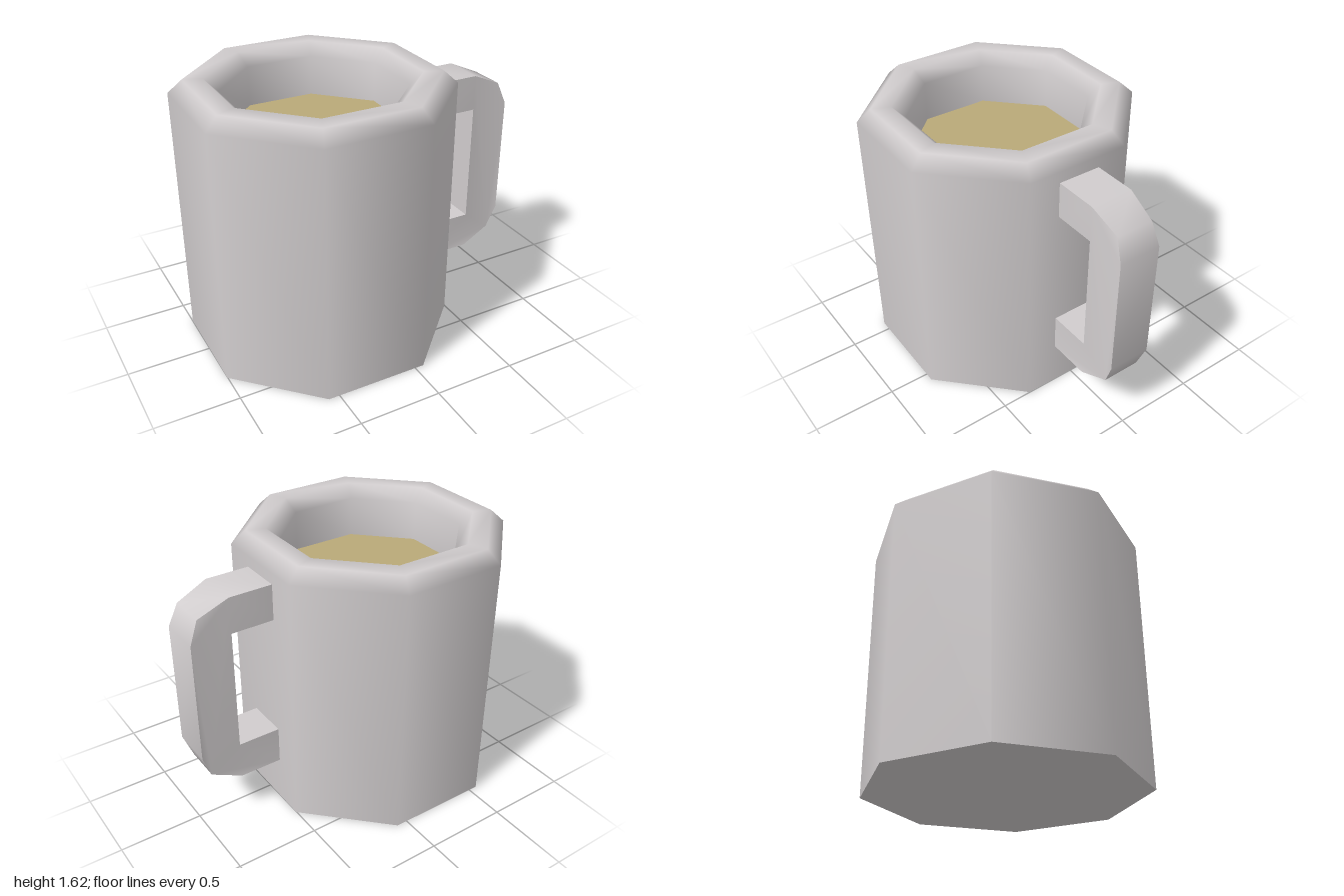
import * as THREE from 'three';
import { toCreasedNormals } from 'three/addons/utils/BufferGeometryUtils.js';

const SIDES = 8;
const CORNER = 1 / Math.cos(Math.PI / SIDES); // flat-to-centre distance -> corner radius

export function createModel() {
  const ceramic = new THREE.MeshStandardMaterial({ color: 0xd0cccd });
  ceramic.name = 'grey ceramic';
  const tea = new THREE.MeshStandardMaterial({ color: 0xb9a978 });
  tea.name = 'tan drink';

  const model = new THREE.Group();
  model.name = 'mug';
  const cup = new THREE.Group();
  cup.name = 'cup';
  cup.position.x = -0.25;
  cup.rotation.y = -0.008;
  model.add(cup);

  const add = (parent, name, geometry, material) => {
    const mesh = new THREE.Mesh(geometry, material);
    mesh.name = name;
    parent.add(mesh);
    return mesh;
  };

  // Outer wall, chamfered rim and inner wall in one smooth profile
  const profile = [[0.75, 0], [0.75, 1.545], [0.673, 1.62], [0.565, 1.62], [0.495, 1.545], [0.495, 1.3]]
    .map(([r, y]) => new THREE.Vector2(r * CORNER, y));
  add(cup, 'wall', new THREE.LatheGeometry(profile, SIDES, Math.PI / SIDES), ceramic);

  // Flat octagons: underside and drink
  const base = add(cup, 'base', new THREE.CircleGeometry(0.75 * CORNER, SIDES, Math.PI / SIDES), ceramic);
  base.rotation.x = Math.PI / 2;
  const drink = add(cup, 'drink', new THREE.CircleGeometry(0.495 * CORNER, SIDES, Math.PI / SIDES), tea);
  drink.rotation.x = -Math.PI / 2;
  drink.position.y = 1.3;

  // Handle: bracket outline, pinched slightly at the two outer bends
  const outline = [
    [0.49, 0.29], [0.76, 0.29], [0.945, 0.375], [1, 0.52], [1, 1.26], [0.945, 1.395],
    [0.76, 1.477], [0.49, 1.477], [0.49, 1.26], [0.76, 1.26], [0.76, 0.52], [0.49, 0.52],
  ].map(([x, y]) => new THREE.Vector2(x, y));
  const bracket = new THREE.ExtrudeGeometry(new THREE.Shape(outline), { depth: 0.26, bevelEnabled: false });
  bracket.translate(0, 0, -0.13);
  const pos = bracket.attributes.position;
  for (let i = 0; i < pos.count; i++) {
    if (Math.abs(pos.getX(i) - 0.945) < 0.01) pos.setZ(i, pos.getZ(i) * 0.88);
  }
  add(model, 'handle', toCreasedNormals(bracket, Math.PI / 3.5), ceramic);

  return model;
}
